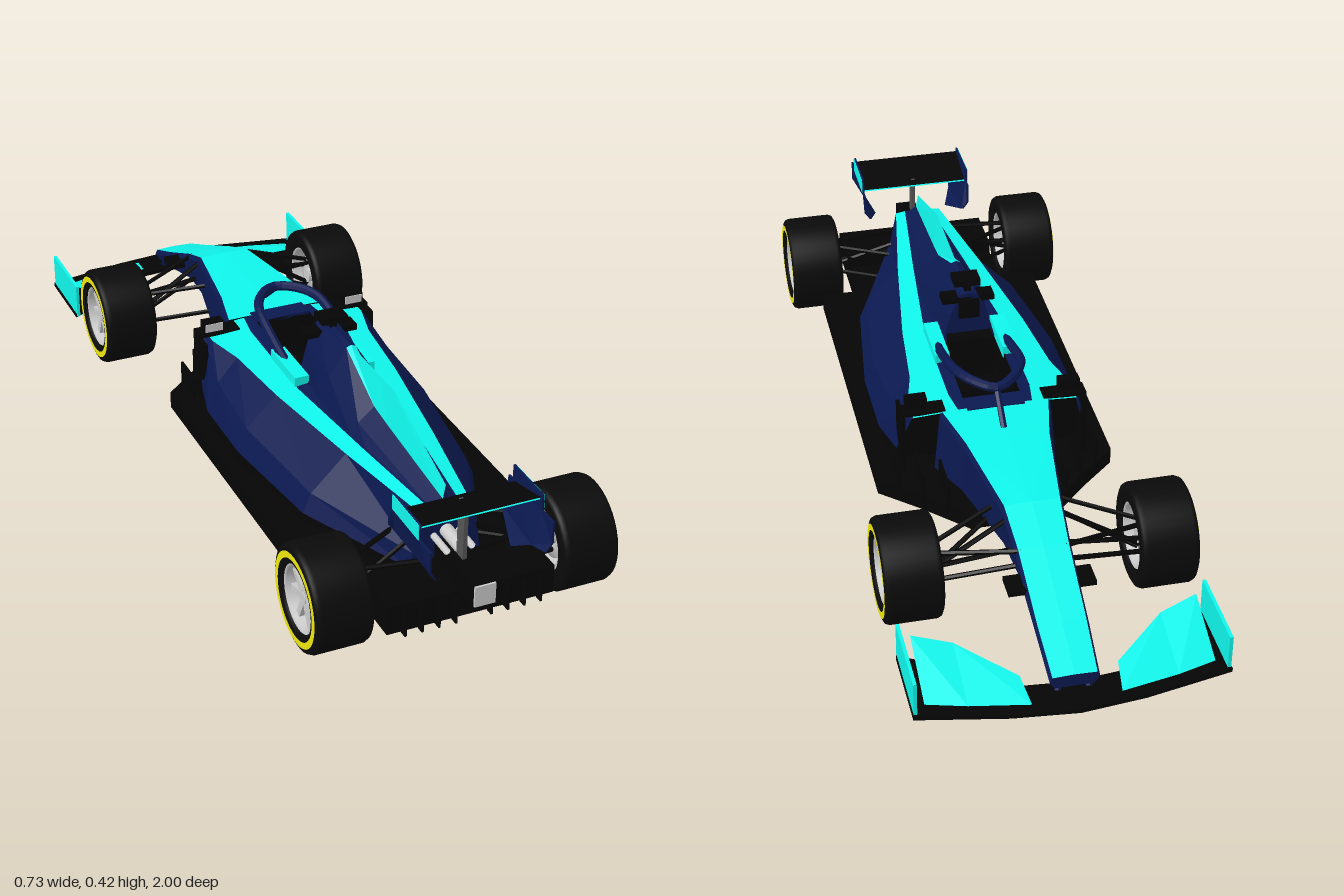
import * as THREE from 'three';

const mat = (color) => new THREE.MeshStandardMaterial({ color, side: THREE.DoubleSide });
const flat = (color) => Object.assign(mat(color), { flatShading: true });
const TEAL = flat(0x10f6ec), NAVY = flat(0x0b1950), BLACK = flat(0x050505), GREY = flat(0xcccccc);
const RUBBER = mat(0x0a0a0a), YELLOW = mat(0xeee70c), METAL = mat(0xcccccc), STEEL = mat(0x555555);

export function createModel() {
  const car = new THREE.Group();
  car.name = 'racingCar';

  const add = (name, geo, material, parent = car) => {
    const mesh = new THREE.Mesh(geo, material);
    mesh.name = name;
    parent.add(mesh);
    return mesh;
  };
  // box given by its limits
  const box = (name, m, x0, x1, y0, y1, z0, z1) =>
    add(name, new THREE.BoxGeometry(x1 - x0, y1 - y0, z1 - z0)
      .translate((x0 + x1) / 2, (y0 + y1) / 2, (z0 + z1) / 2), m);
  const pair = (name, m, x0, x1, ...rest) => {
    box(name + 'Left', m, x0, x1, ...rest);
    box(name + 'Right', m, -x1, -x0, ...rest);
  };
  const rod = (name, m, a, b, r = 0.006) => {
    const p = new THREE.Vector3(...a), q = new THREE.Vector3(...b);
    const mesh = add(name, new THREE.CylinderGeometry(r, r, p.distanceTo(q), 6), m);
    mesh.position.copy(p).lerp(q, 0.5);
    mesh.quaternion.setFromUnitVectors(new THREE.Vector3(0, 1, 0), q.sub(p).normalize());
  };
  // mirrored strip of panels between profile points from..to; section = [z, [x, y], ...],
  // where a point may carry its own z as a third value
  const skin = (name, m, sections, from, to) => {
    const v = [];
    for (const s of [1, -1]) for (let k = 0; k + 1 < sections.length; k++) for (let i = from; i < to; i++) {
      const at = ([z, ...pts], j) => [s * pts[j][0], pts[j][1], pts[j][2] ?? z];
      const a = at(sections[k], i), b = at(sections[k], i + 1);
      const c = at(sections[k + 1], i + 1), d = at(sections[k + 1], i);
      v.push(...(s > 0 ? [a, d, c, a, c, b] : [a, c, d, a, b, c]).flat());
    }
    const geo = new THREE.BufferGeometry();
    geo.setAttribute('position', new THREE.Float32BufferAttribute(v, 3));
    geo.computeVertexNormals();
    return add(name, geo, m);
  };
  // flat end closing a section
  const cap = (name, m, [z, ...pts]) => {
    const ring = [...pts, ...pts.map(([x, y]) => [-x, y]).reverse()].map((p) => new THREE.Vector2(...p));
    add(name, new THREE.ShapeGeometry(new THREE.Shape(ring)).translate(0, 0, z), m);
  };
  // mirrored plan outline [x, z] raised from y0 to y1
  const plate = (name, m, pts, y0, y1) => {
    const ring = [...pts, ...pts.map(([x, z]) => [-x, z]).reverse()].map(([x, z]) => new THREE.Vector2(x, -z));
    const geo = new THREE.ExtrudeGeometry(new THREE.Shape(ring), { depth: y1 - y0, bevelEnabled: false });
    return add(name, geo.rotateX(-Math.PI / 2).translate(0, y0, 0), m);
  };

  // sidepods and deck: cockpit edge, stripe inside, stripe outside, shoulder, sill, floor joint
  const body = [
    [-0.17, [0.07, 0.26], [0.09, 0.258], [0.2, 0.252], [0.205, 0.248], [0.21, 0.235], [0.21, 0.225]],
    [-0.1, [0.07, 0.26], [0.1, 0.258], [0.2, 0.252], [0.213, 0.232], [0.23, 0.12], [0.23, 0.08]],
    [0, [0.07, 0.26], [0.1, 0.257], [0.175, 0.252], [0.226, 0.195], [0.255, 0.12], [0.255, 0.08]],
    [0.2, [0.07, 0.26], [0.1, 0.257], [0.155, 0.252], [0.232, 0.178], [0.255, 0.12], [0.255, 0.08]],
    [0.5, [0.04, 0.26], [0.069, 0.258], [0.11, 0.253], [0.195, 0.168], [0.215, 0.12], [0.215, 0.08]],
    [0.79, [0.01, 0.26], [0.035, 0.258], [0.06, 0.254], [0.08, 0.16], [0.085, 0.12], [0.085, 0.08]],
  ];
  skin('cockpitDeck', NAVY, body, 0, 1);
  skin('bodyStripes', TEAL, body, 1, 2);
  skin('sidepods', NAVY, body, 2, 4);
  skin('sills', BLACK, body, 4, 5);
  cap('sidepodInlets', BLACK, body[1]);
  cap('bodyTail', NAVY, body[5]);

  // cockpit tub, padding and seat
  const tub = [-0.13, 0.2].map((z) => [z, [0, 0.17], [0.065, 0.17], [0.07, 0.262]]);
  skin('cockpitTub', BLACK, tub, 0, 2);
  tub.forEach((s) => cap('cockpitBulkhead', BLACK, s));
  box('cockpitCowl', NAVY, -0.07, 0.07, 0.25, 0.264, -0.18, -0.13);
  box('seat', BLACK, -0.055, 0.055, 0.17, 0.28, 0.09, 0.17);
  pair('headPadding', TEAL, 0.067, 0.103, 0.25, 0.28, 0.04, 0.19);

  // engine cover: ridge, fin edge, flank, foot
  const cover = [
    [0.13, [0, 0.392], [0.022, 0.387], [0.046, 0.335], [0.066, 0.258]],
    [0.28, [0, 0.395], [0.012, 0.39], [0.055, 0.32], [0.075, 0.258]],
    [0.44, [0, 0.397], [0.013, 0.32], [0.053, 0.287], [0.07, 0.258]],
    [0.51, [0, 0.4], [0.012, 0.31], [0.048, 0.28], [0.064, 0.257]],
    [0.78, [0, 0.31], [0.006, 0.275], [0.022, 0.266], [0.033, 0.256]],
  ];
  skin('airboxTop', NAVY, cover.slice(0, 2), 0, 1);
  skin('engineFin', TEAL, cover.slice(1), 0, 1);
  skin('engineCover', NAVY, cover, 1, 3);
  cap('airboxFront', NAVY, cover[0]);
  cap('coverTail', NAVY, cover[4]);
  box('airIntake', BLACK, -0.025, 0.025, 0.325, 0.375, 0.12, 0.135);
  box('cameraPost', BLACK, -0.008, 0.008, 0.385, 0.41, 0.14, 0.18);
  box('topCamera', BLACK, -0.033, 0.033, 0.405, 0.42, 0.14, 0.19);
  box('crossCamera', BLACK, -0.065, 0.065, 0.365, 0.38, 0.13, 0.17);

  // nose: top centre, top edge, chamfer, bottom edge, bottom centre
  const nose = [[-0.94, 0.05, 0.08, 0.045, 0.05], [-0.82, 0.055, 0.13, 0.05, 0.08],
    [-0.65, 0.058, 0.205, 0.055, 0.13], [-0.54, 0.065, 0.247, 0.065, 0.14],
    [-0.3, 0.1, 0.255, 0.11, 0.12], [-0.17, 0.13, 0.26, 0.15, 0.1]]
    .map(([z, x, y, bx, by]) => [z, [0, y + 0.002], [x, y], [x + 0.006, y - 0.012], [bx, by], [0, by]]);
  skin('noseTop', TEAL, nose, 0, 1);
  skin('noseSides', NAVY, nose, 1, 4);
  cap('noseTip', NAVY, nose[0]);
  cap('noseBulkhead', BLACK, nose[5]);
  pair('noseCamera', BLACK, 0.05, 0.1, 0.15, 0.162, -0.74, -0.68);

  // halo
  const hoop = [[0.085, 0.262, 0.12], [0.087, 0.29, 0.02], [0.08, 0.32, -0.09], [0.05, 0.324, -0.15]];
  const path = [...hoop, [0, 0.321, -0.185], ...hoop.map(([x, y, z]) => [-x, y, z]).reverse()];
  add('haloHoop', new THREE.TubeGeometry(
    new THREE.CatmullRomCurve3(path.map((p) => new THREE.Vector3(...p))), 36, 0.012, 8), NAVY);
  rod('haloStrut', NAVY, [0, 0.32, -0.18], [0, 0.256, -0.26], 0.008);

  // floor, diffuser and bargeboards
  const floor = plate('floor', BLACK, [[0.1, -0.35], [0.2, -0.25], [0.29, -0.17], [0.29, 0.66],
    [0.2, 0.66], [0.2, 0.92]], 0.048, 0.09);
  floor.rotation.x = -0.018;
  box('diffuser', BLACK, -0.2, 0.2, 0.065, 0.135, 0.78, 0.92);
  for (const x of [0.04, 0.08, 0.12, 0.16]) pair('diffuserStrake', BLACK, x, x + 0.005, 0.06, 0.12, 0.8, 0.935);
  for (const [x, z0, z1] of [[0.14, -0.31, -0.2], [0.19, -0.26, -0.16], [0.24, -0.21, -0.12]])
    pair('bargeboard', BLACK, x, x + 0.006, 0.06, 0.145, z0, z1);
  pair('turningVane', BLACK, 0.218, 0.226, 0.08, 0.252, -0.165, -0.085);
  pair('vaneBridge', BLACK, 0.12, 0.226, 0.253, 0.26, -0.165, -0.12);

  // mirrors
  pair('mirrorHousing', BLACK, 0.162, 0.213, 0.263, 0.29, -0.15, -0.122);
  pair('mirrorGlass', GREY, 0.165, 0.21, 0.266, 0.287, -0.123, -0.12);

  // front wing
  plate('frontWing', BLACK, [[0, -1], [0.15, -0.985], [0.355, -0.945], [0.355, -0.745], [0.32, -0.765],
    [0.25, -0.8], [0.11, -0.9], [0, -0.91]], 0.025, 0.035);
  skin('frontFlaps', TEAL, [
    [0, [0.1, 0.037, -0.965], [0.235, 0.037, -0.94], [0.325, 0.037, -0.915]],
    [0, [0.11, 0.055, -0.89], [0.235, 0.085, -0.787], [0.325, 0.1, -0.76]],
  ], 0, 2);
  pair('frontEndplate', TEAL, 0.345, 0.353, 0.03, 0.12, -0.94, -0.74);
  for (const s of [1, -1])
    rod('wingPylon', NAVY, [s * 0.035, 0.035, -0.93], [s * 0.035, 0.09, -0.89], 0.008);

  // rear wing, endplates curling inward at the foot
  const side = new THREE.Shape([[0.8, 0.26], [0.8, 0.24], [0.9, 0.2], [0.95, 0.23], [1, 0.24], [1, 0.26],
    [1, 0.312], [0.95, 0.312], [0.95, 0.35], [0.82, 0.35], [0.82, 0.312], [0.8, 0.312]]
    .map(([z, y]) => new THREE.Vector2(-z, y)));
  for (const s of [1, -1]) {
    const geo = new THREE.ExtrudeGeometry(side, { depth: 0.005, bevelEnabled: false })
      .rotateY(Math.PI / 2).translate(s * 0.143 - 0.0025, 0, 0);
    const p = geo.attributes.position;
    for (let i = 0; i < p.count; i++) p.setX(i, p.getX(i) - s * 0.7 * Math.max(0, 0.26 - p.getY(i)));
    geo.computeVertexNormals();
    add('rearEndplate', geo, NAVY);
  }
  pair('rearEndplatePanel', TEAL, 0.1455, 0.147, 0.312, 0.349, 0.821, 0.949);
  const plane = (y) => [[0.83, [0, y], [0.14, y]], [0.945, [0, y + 0.028], [0.14, y + 0.028]]];
  skin('rearFlapTop', BLACK, plane(0.314), 0, 1);
  skin('rearFlapUnderside', TEAL, plane(0.31), 0, 1);
  box('rearWingPost', STEEL, -0.005, 0.005, 0.18, 0.32, 0.85, 0.88);

  // tail light, crash structure and exhausts
  box('crashStructure', BLACK, -0.027, 0.027, 0.125, 0.18, 0.78, 0.975);
  box('tailLight', GREY, -0.025, 0.025, 0.127, 0.178, 0.975, 0.98);
  for (const [x, y, r] of [[0, 0.2, 0.016], [0.03, 0.192, 0.008], [-0.03, 0.192, 0.008]])
    add('exhaust', new THREE.CylinderGeometry(r, r, 0.07, 16, 1, true)
      .rotateX(Math.PI / 2).translate(x, y, 0.82), METAL);

  // wheels, built with the outer side facing +y, then laid on their side
  const lathe = (pts) => new THREE.LatheGeometry(pts.map((p) => new THREE.Vector2(...p)), 40);
  const wheel = (name, s, z) => {
    const g = new THREE.Group();
    g.name = name;
    add('tyre', lathe([[0.078, -0.06], [0.085, -0.067], [0.112, -0.067], [0.12, -0.063], [0.124, -0.054],
      [0.124, 0.054], [0.12, 0.063], [0.112, 0.067], [0.085, 0.067], [0.078, 0.06]]), RUBBER, g);
    add('sidewallBand', lathe([[0.093, 0.0685], [0.108, 0.0685]]), YELLOW, g);
    add('rimBarrel', lathe([[0.078, -0.06], [0.07, -0.058], [0.066, 0], [0.07, 0.058], [0.078, 0.06]]), METAL, g);
    add('brakeDisc', new THREE.CylinderGeometry(0.066, 0.066, 0.02, 32), BLACK, g);
    add('hub', new THREE.CylinderGeometry(0.014, 0.02, 0.1, 16), METAL, g);
    add('innerCover', lathe([[0.02, -0.035], [0.052, -0.04], [0.054, -0.01]]), METAL, g);
    for (let i = 0; i < 7; i++) {
      const spoke = add('spoke', new THREE.BoxGeometry(0.06, 0.012, 0.016).translate(0.04, 0.042, 0), METAL, g);
      spoke.rotation.y = (i / 7) * Math.PI * 2;
    }
    g.rotation.z = -s * Math.PI / 2;
    g.position.set(s * 0.294, 0.124, z);
    car.add(g);
  };
  for (const [s, label] of [[1, 'Left'], [-1, 'Right']]) {
    wheel('frontWheel' + label, s, -0.556);
    wheel('rearWheel' + label, s, 0.802);
    // wishbones, push rods and track rods: inner x, y, z then outer x, y, z
    for (const [x, y, z, X, Y, Z] of [
      [0.05, 0.2, -0.65, 0.25, 0.165, -0.57], [0.07, 0.2, -0.47, 0.25, 0.165, -0.55],
      [0.05, 0.145, -0.63, 0.25, 0.085, -0.57], [0.08, 0.14, -0.44, 0.25, 0.085, -0.55],
      [0.06, 0.225, -0.56, 0.25, 0.1, -0.56], [0.06, 0.16, -0.59, 0.25, 0.14, -0.59],
      [0.08, 0.175, 0.7, 0.25, 0.175, 0.79], [0.06, 0.17, 0.84, 0.25, 0.175, 0.81],
      [0.08, 0.11, 0.68, 0.25, 0.1, 0.79], [0.06, 0.125, 0.86, 0.25, 0.1, 0.82],
      [0.07, 0.18, 0.76, 0.25, 0.105, 0.8], [0.05, 0.135, 0.8, 0.25, 0.124, 0.8],
    ]) rod('suspensionArm' + label, BLACK, [s * x, y, z], [s * X, Y, Z]);
  }
  return car;
}
